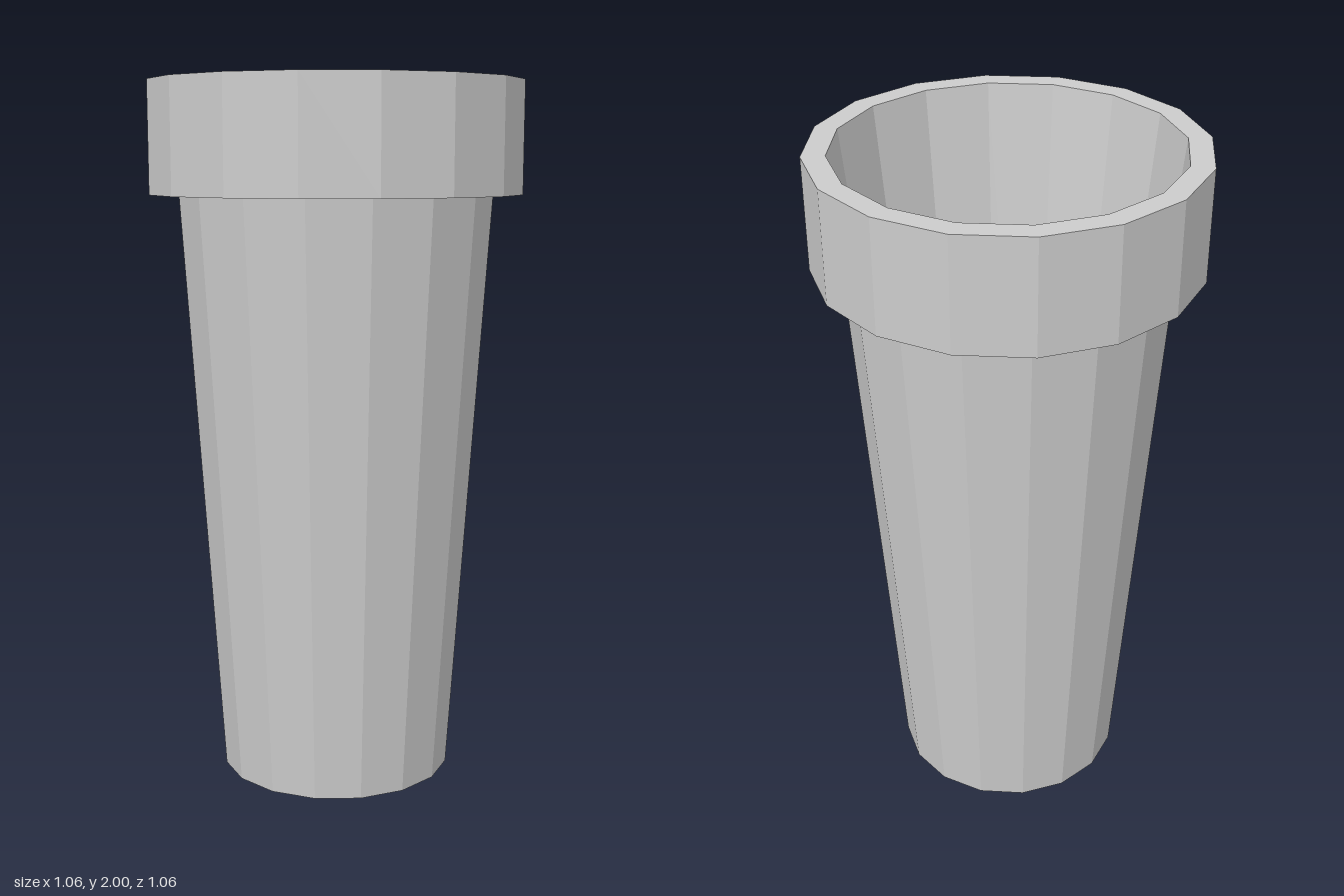
import * as THREE from 'three';

const SIDES = 16;

// Faceted surface of revolution from [radius, height] pairs
function lathe(name, profile, material) {
  const points = profile.map(([r, y]) => new THREE.Vector2(r, y));
  const mesh = new THREE.Mesh(new THREE.LatheGeometry(points, SIDES), material);
  mesh.name = name;
  return mesh;
}

export function createModel() {
  const group = new THREE.Group();
  group.name = 'cup';
  const material = new THREE.MeshStandardMaterial({ color: 0xcccccc, flatShading: true });

  // Underside and tapered outer wall, up to the collar
  group.add(lathe('outerWall', [[0, 0], [0.335, 0], [0.447, 1.685]], material));

  // Wide collar: underside, vertical band and flat lip
  group.add(lathe('collar', [[0.447, 1.685], [0.53, 1.685], [0.53, 2], [0.466, 2]], material));

  // Hollow inside: tapering wall down to the floor
  group.add(lathe('innerWall', [[0.466, 2], [0.264, 0.07], [0, 0.07]], material));

  return group;
}
